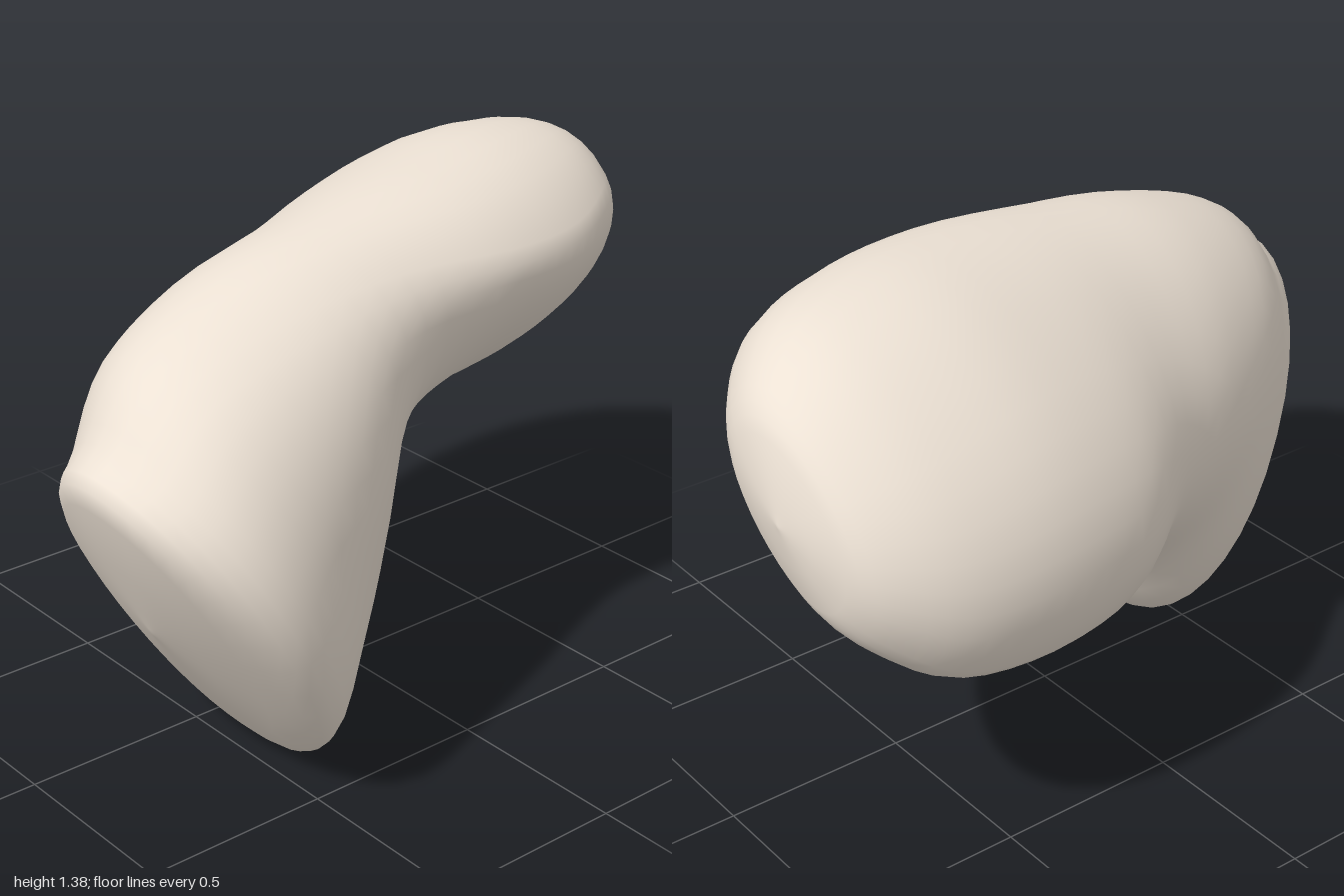
import * as THREE from 'three';
import { mergeVertices } from 'three/addons/utils/BufferGeometryUtils.js';

// Cross-sections from the thick end to the bent lobe:
// centre x, y, z | tilt and yaw of the plane, roll in it (degrees) | half length, half width on either side
const SECTIONS = [
  [1.00, 0.99, -0.31, 90, 4, 40, 0.00, 0.00, 0.00],
  [0.965, 0.98, -0.30, 90, 4, 40, 0.23, 0.15, 0.13],
  [0.88, 0.96, -0.275, 90, 5, 39, 0.37, 0.25, 0.19],
  [0.72, 0.92, -0.22, 90, 6, 38, 0.49, 0.36, 0.22],
  [0.47, 0.89, -0.15, 90, 8, 35, 0.55, 0.43, 0.21],
  [0.20, 0.89, -0.09, 94, 10, 36, 0.55, 0.40, 0.21],
  [-0.07, 0.88, -0.01, 102, 8, 46, 0.49, 0.36, 0.26],
  [-0.29, 0.80, 0.08, 114, 5, 60, 0.50, 0.40, 0.37],
  [-0.49, 0.68, 0.17, 121, 2, 72, 0.53, 0.42, 0.41],
  [-0.645, 0.50, 0.23, 119, 0, 76, 0.56, 0.39, 0.42],
  [-0.74, 0.46, 0.23, 122, 0, 76, 0.49, 0.28, 0.29],
  [-0.80, 0.46, 0.24, 122, 0, 76, 0.00, 0.00, 0.00],
];
const LAST = SECTIONS.length - 1;
const SEGMENTS = 36;
const STEPS = 4;

// Smoothly blended section at position s along the list
function sectionAt(s) {
  const i = Math.min(Math.floor(s), LAST - 1);
  const f = s - i;
  const at = (k) => SECTIONS[THREE.MathUtils.clamp(k, 0, LAST)];
  return at(i).map((b, n) => {
    const a = at(i - 1)[n], c = at(i + 1)[n], d = at(i + 2)[n];
    return b + 0.5 * f * (c - a + f * (2 * a - 5 * b + 4 * c - d + f * (3 * (b - c) + d - a)));
  });
}

// Rounded oval, slightly fuller than an ellipse
const full = (v) => Math.sign(v) * Math.pow(Math.abs(v), 0.93);

function ring(s) {
  const [x, y, z, tilt, yaw, roll, length, upper, lower] = sectionAt(s);
  const rad = THREE.MathUtils.degToRad;
  const U = new THREE.Vector3(Math.cos(rad(tilt)), Math.sin(rad(tilt)), 0);
  const V = new THREE.Vector3(Math.sin(rad(yaw)), 0, Math.cos(rad(yaw)));
  const c = Math.cos(rad(roll)), k = Math.sin(rad(roll));
  const points = [];
  for (let j = 0; j < SEGMENTS; j++) {
    const t = (j / SEGMENTS) * Math.PI * 2;
    const m = length * full(Math.cos(t));
    const n = (Math.sin(t) > 0 ? upper : lower) * full(Math.sin(t));
    points.push(new THREE.Vector3(x, y, z).addScaledVector(V, m * c - n * k).addScaledVector(U, m * k + n * c));
  }
  return points;
}

function bodyGeometry() {
  const positions = [], index = [];
  const rings = LAST * STEPS;
  for (let i = 0; i <= rings; i++) {
    // Ease the first and last spans so the ends are round
    let s = i / STEPS;
    if (s < 1) s = s * s;
    else if (s > LAST - 1) s = LAST - (LAST - s) ** 2;
    for (const p of ring(s)) positions.push(p.x, p.y, p.z);
  }
  for (let i = 0; i < rings; i++) {
    for (let j = 0; j < SEGMENTS; j++) {
      const a = i * SEGMENTS + j, b = i * SEGMENTS + ((j + 1) % SEGMENTS);
      const c = a + SEGMENTS, d = b + SEGMENTS;
      if (i > 0) index.push(a, b, c);
      if (i < rings - 1) index.push(b, d, c);
    }
  }
  let geometry = new THREE.BufferGeometry();
  geometry.setAttribute('position', new THREE.Float32BufferAttribute(positions, 3));
  geometry.setIndex(index);
  geometry = mergeVertices(geometry, 1e-4);

  // Centre it and stand it on the ground
  geometry.computeBoundingBox();
  const { min, max } = geometry.boundingBox;
  geometry.translate(-(min.x + max.x) / 2, -min.y, -(min.z + max.z) / 2);
  geometry.computeVertexNormals();
  return geometry;
}

export function createModel() {
  const model = new THREE.Group();
  model.name = 'bentPebble';
  const body = new THREE.Mesh(bodyGeometry(), new THREE.MeshStandardMaterial({ color: 0xece1d4 }));
  body.name = 'body';
  model.add(body);
  return model;
}
